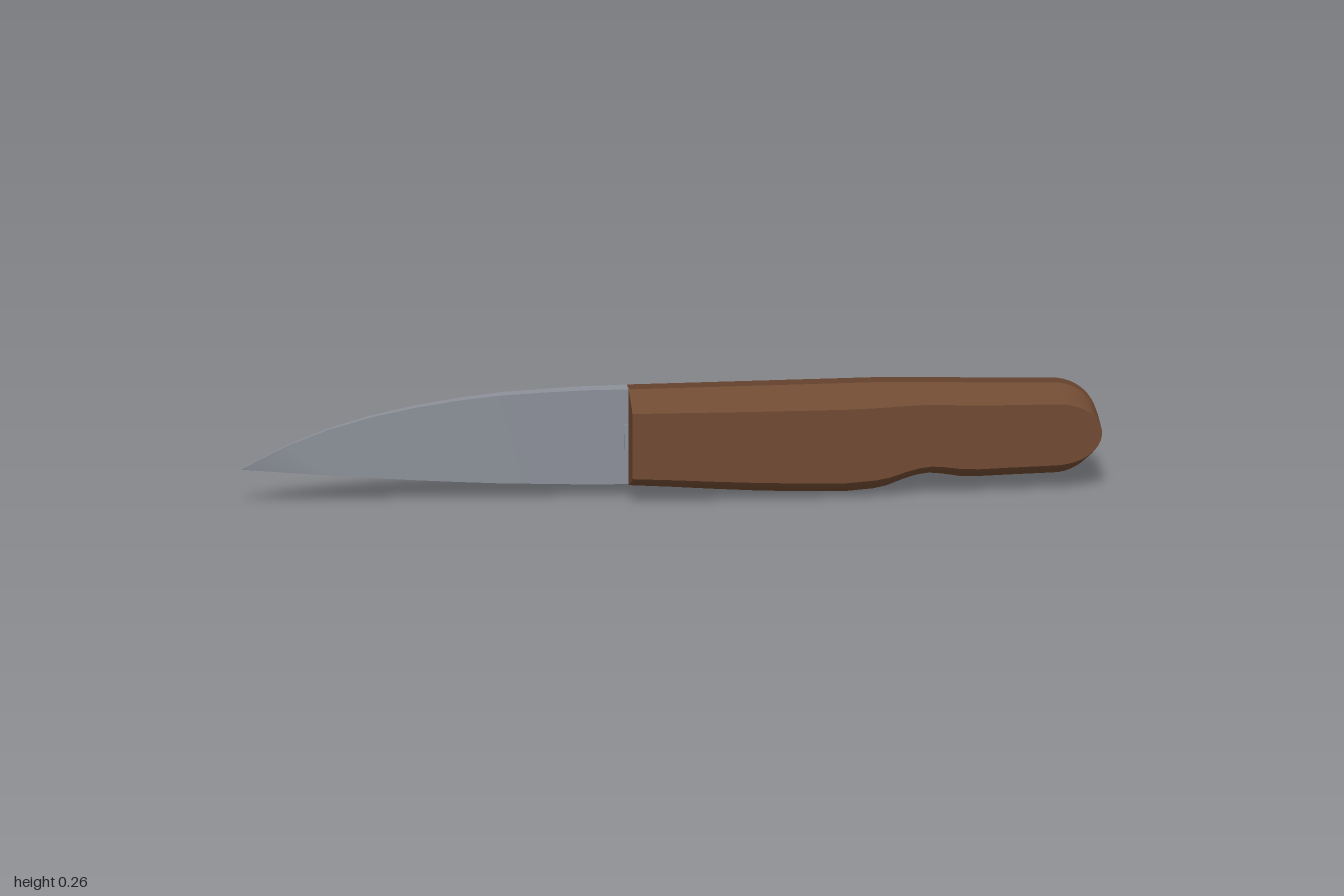
import * as THREE from 'three';
import { toCreasedNormals } from 'three/addons/utils/BufferGeometryUtils.js';

// Skins closed rings running along +x (each ring counter-clockwise seen from +x) and caps both ends
function loft(rings, crease = 0.4) {
  const n = rings[0].length;
  const index = [];
  for (let i = 0; i < rings.length - 1; i++) {
    for (let j = 0; j < n; j++) {
      const k = (j + 1) % n;
      const a = i * n + j, b = i * n + k, c = b + n, d = a + n;
      index.push(a, b, c, a, c, d);
    }
  }
  const last = (rings.length - 1) * n;
  for (let j = 1; j < n - 1; j++) {
    index.push(0, j + 1, j, last, last + j, last + j + 1);
  }
  const geometry = new THREE.BufferGeometry();
  geometry.setAttribute('position', new THREE.Float32BufferAttribute(rings.flat(2), 3));
  geometry.setIndex(index);
  return toCreasedNormals(geometry, crease);
}

// Blade stations: x, spine height, edge height
const bladeStations = [
  [-1, 0.091, 0.089], [-0.9, 0.142, 0.079], [-0.8, 0.18, 0.07], [-0.7, 0.208, 0.061],
  [-0.6, 0.228, 0.053], [-0.5, 0.243, 0.046], [-0.4, 0.253, 0.04], [-0.3, 0.258, 0.036],
  [-0.2, 0.261, 0.032], [-0.1, 0.261, 0.03],
];

// Handle stations: x, top, bottom, with a finger notch underneath
const handleStations = [
  [-0.1, 0.261, 0.03], [0, 0.261, 0.023], [0.1, 0.261, 0.015], [0.2, 0.261, 0.008],
  [0.3, 0.261, 0.003], [0.4, 0.261, 0], [0.47, 0.261, 0.005], [0.5, 0.261, 0.011],
  [0.54, 0.26, 0.026], [0.57, 0.259, 0.035], [0.6, 0.258, 0.039], [0.63, 0.257, 0.036],
  [0.67, 0.255, 0.029], [0.71, 0.253, 0.027], [0.8, 0.25, 0.029],
];
// Rounded butt
for (let i = 0; i <= 12; i++) {
  const a = (i / 12) * Math.PI / 2;
  const h = 0.108 * Math.cos(a) + 0.0005;
  handleStations.push([0.89 + 0.108 * Math.sin(a), 0.139 + h, 0.139 - h]);
}

// One handle half: flat inside, chamfered outside, thinner towards the butt
function scaleGeometry(side) {
  return loft(handleStations.map(([x, top, bottom]) => {
    const h = top - bottom;
    const out = 0.1 - 0.02 * Math.max(0, (x - 0.4) / 0.6);
    const ring = [
      [x, top, 0.021],
      [x, top - 0.125 * h, out - 0.009],
      [x, top - 0.16 * h, out],
      [x, bottom + 0.16 * h, out],
      [x, bottom + 0.125 * h, out - 0.009],
      [x, bottom, 0.021],
    ];
    return side > 0 ? ring : ring.map(([px, y, z]) => [px, y, -z]).reverse();
  }));
}

export function createModel() {
  const model = new THREE.Group();
  const steel = new THREE.MeshStandardMaterial({ color: 0x8c9099 });
  const wood = new THREE.MeshStandardMaterial({ color: 0x704a32 });
  const add = (name, geometry, material) => {
    const mesh = new THREE.Mesh(geometry, material);
    mesh.name = name;
    model.add(mesh);
  };

  // Blade: thick spine, narrower edge, tapering to the tip
  add('blade', loft(bladeStations.map(([x, top, bottom]) => {
    const t = 0.002 + 0.018 * (x + 1) / 0.9;
    return [[x, top, -t], [x, top, t], [x, bottom, t * 0.65], [x, bottom, -t * 0.65]];
  })), steel);

  // Tang: flat bar between the handle halves with a rounded end
  const tang = new THREE.Shape();
  tang.moveTo(-0.11, 0.115);
  tang.lineTo(0.86, 0.115);
  tang.absarc(0.86, 0.145, 0.03, -Math.PI / 2, Math.PI / 2, false);
  tang.lineTo(-0.11, 0.175);
  tang.closePath();
  const tangGeometry = new THREE.ExtrudeGeometry(tang, { depth: 0.041, bevelEnabled: false, curveSegments: 3 });
  tangGeometry.translate(0, 0, -0.0205);
  add('tang', tangGeometry, steel);

  add('frontHandleScale', scaleGeometry(1), wood);
  add('backHandleScale', scaleGeometry(-1), wood);
  return model;
}
